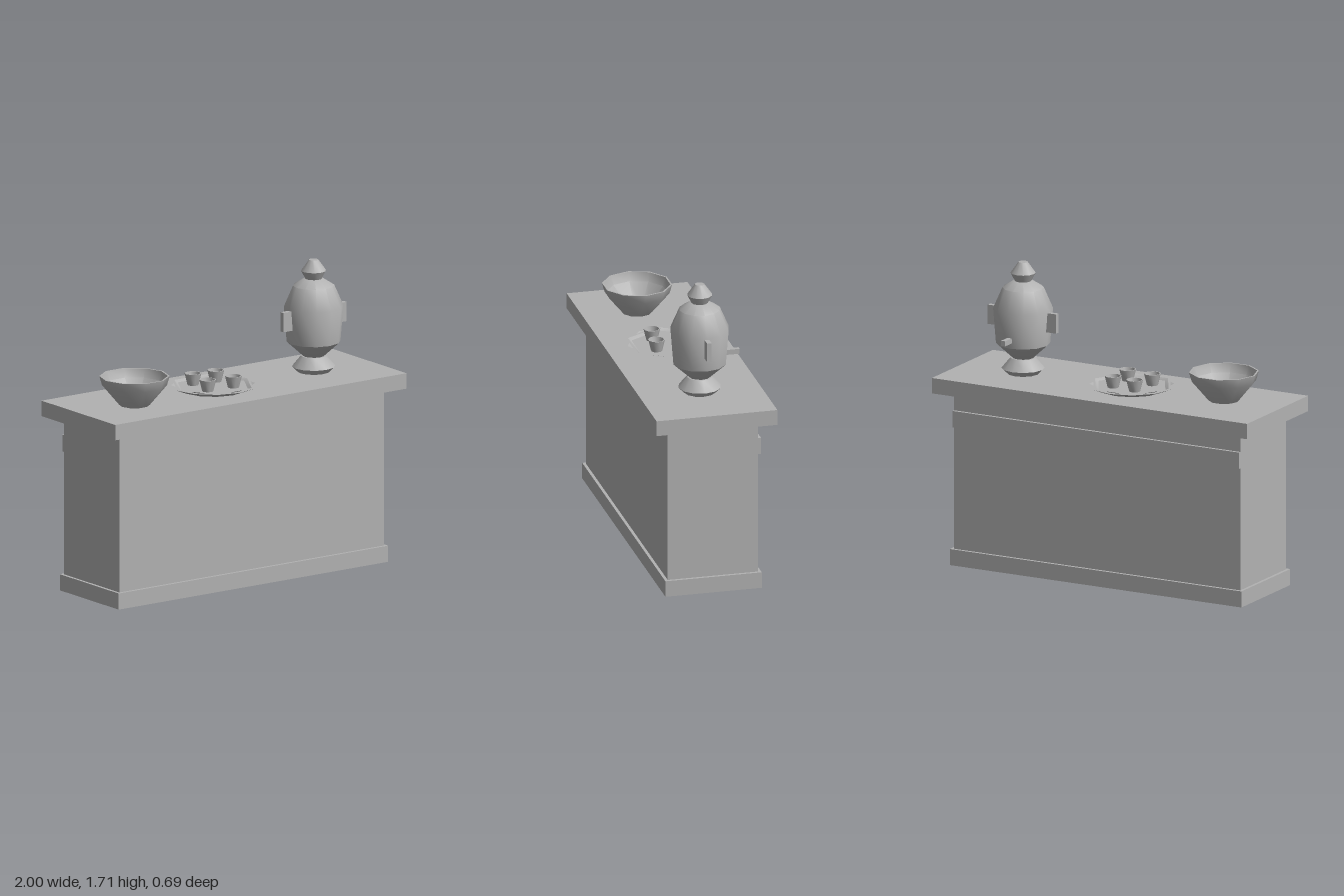
import * as THREE from 'three';
import { toCreasedNormals } from 'three/addons/utils/BufferGeometryUtils.js';

const grey = new THREE.MeshStandardMaterial({ color: 0xb2b2b2, side: THREE.DoubleSide });
grey.name = 'plain grey';

export function createModel() {
  const model = new THREE.Group();
  model.name = 'servingCounter';

  const add = (parent, name, geometry, x = 0, y = 0, z = 0) => {
    const mesh = new THREE.Mesh(geometry, grey);
    mesh.name = name;
    mesh.position.set(x, y, z);
    parent.add(mesh);
    return mesh;
  };
  // box given by its lower and upper corners
  const box = (parent, name, [x0, y0, z0], [x1, y1, z1]) =>
    add(parent, name, new THREE.BoxGeometry(x1 - x0, y1 - y0, z1 - z0),
      (x0 + x1) / 2, (y0 + y1) / 2, (z0 + z1) / 2);
  // faceted turning with a vertex on the x axis, sharp at strong profile breaks
  const turned = (points, sides) => toCreasedNormals(new THREE.LatheGeometry(
    points.map(([r, y]) => new THREE.Vector2(r, y)), sides, Math.PI / 2), 0.7);
  const group = (name, x, y, z) => {
    const g = new THREE.Group();
    g.name = name;
    g.position.set(x, y, z);
    model.add(g);
    return g;
  };

  // Counter
  box(model, 'plinth', [-0.925, 0, -0.275], [0.925, 0.092, 0.275]);
  box(model, 'cabinet', [-0.908, 0.092, -0.258], [0.908, 0.99, 0.258]);
  box(model, 'backRail', [-0.908, 0.79, -0.275], [0.908, 0.885, -0.258]);
  box(model, 'counterTop', [-1, 0.99, -0.345], [1, 1.078, 0.345]);
  const top = 1.078;

  // Bowl
  add(model, 'bowl', turned([[0, 0], [0.085, 0], [0.18, 0.112], [0.195, 0.164],
    [0.185, 0.164], [0.17, 0.114], [0.075, 0.014], [0, 0.014]], 10), -0.64, top, 0.035);

  // Tray: twelve-sided dish, pierced rim and sunken hexagonal floor
  const tray = group('tray', -0.075, top, 0);
  const rimY = 0.028, floorY = 0.016;
  add(tray, 'trayDish', turned([[0, 0], [0.185, 0], [0.253, rimY]], 12));
  const ring = (r, n) => Array.from({ length: n }, (_, i) => {
    const a = i * 2 * Math.PI / n;
    return new THREE.Vector2(r * Math.cos(a), r * Math.sin(a));
  });
  const rim = new THREE.Shape(ring(0.253, 12));
  rim.holes.push(new THREE.Path(ring(0.233, 6)));
  for (let i = 0; i < 6; i++) {
    const a = (i + 0.5) * Math.PI / 3;
    const notch = [[0.213, -0.043], [0.234, 0], [0.213, 0.043]].map(([u, v]) =>
      new THREE.Vector2(u, v).rotateAround(new THREE.Vector2(), a));
    rim.holes.push(new THREE.Path(notch));
  }
  add(tray, 'trayRim', new THREE.ShapeGeometry(rim).rotateX(-Math.PI / 2), 0, rimY, 0);
  add(tray, 'trayFloor', new THREE.ShapeGeometry(new THREE.Shape(ring(0.213, 6)))
    .rotateX(-Math.PI / 2), 0, floorY, 0);
  add(tray, 'trayInnerWall', turned([[0.213, floorY], [0.233, rimY]], 6));

  // Cups
  const cup = turned([[0, 0], [0.031, 0], [0.047, 0.066], [0.041, 0.066], [0.026, 0.008], [0, 0.008]], 10);
  for (const [x, z] of [[-0.145, -0.092], [0, -0.077], [-0.165, 0.073], [0, 0.088]])
    add(model, 'cup', cup, x, top + floorY, z);

  // Urn
  const urn = group('urn', 0.615, 0, 0);
  add(urn, 'urnFoot', turned([[0, top], [0.09, top], [0.12, 1.108], [0.07, 1.168], [0, 1.168]], 12));
  add(urn, 'urnBody', turned([[0, 1.16], [0.06, 1.168], [0.15, 1.25], [0.166, 1.45],
    [0.115, 1.568], [0.055, 1.606], [0, 1.61]], 12));
  add(urn, 'urnLidKnob', turned([[0, 1.603], [0.046, 1.606], [0.07, 1.652], [0.026, 1.714], [0, 1.714]], 12));
  for (const s of [-1, 1])
    add(urn, s < 0 ? 'rightHandle' : 'leftHandle',
      new THREE.BoxGeometry(0.075, 0.11, 0.026), s * 0.18, 1.388, 0);
  box(urn, 'spout', [-0.013, 1.283, -0.225], [0.013, 1.312, -0.13]);

  return model;
}
